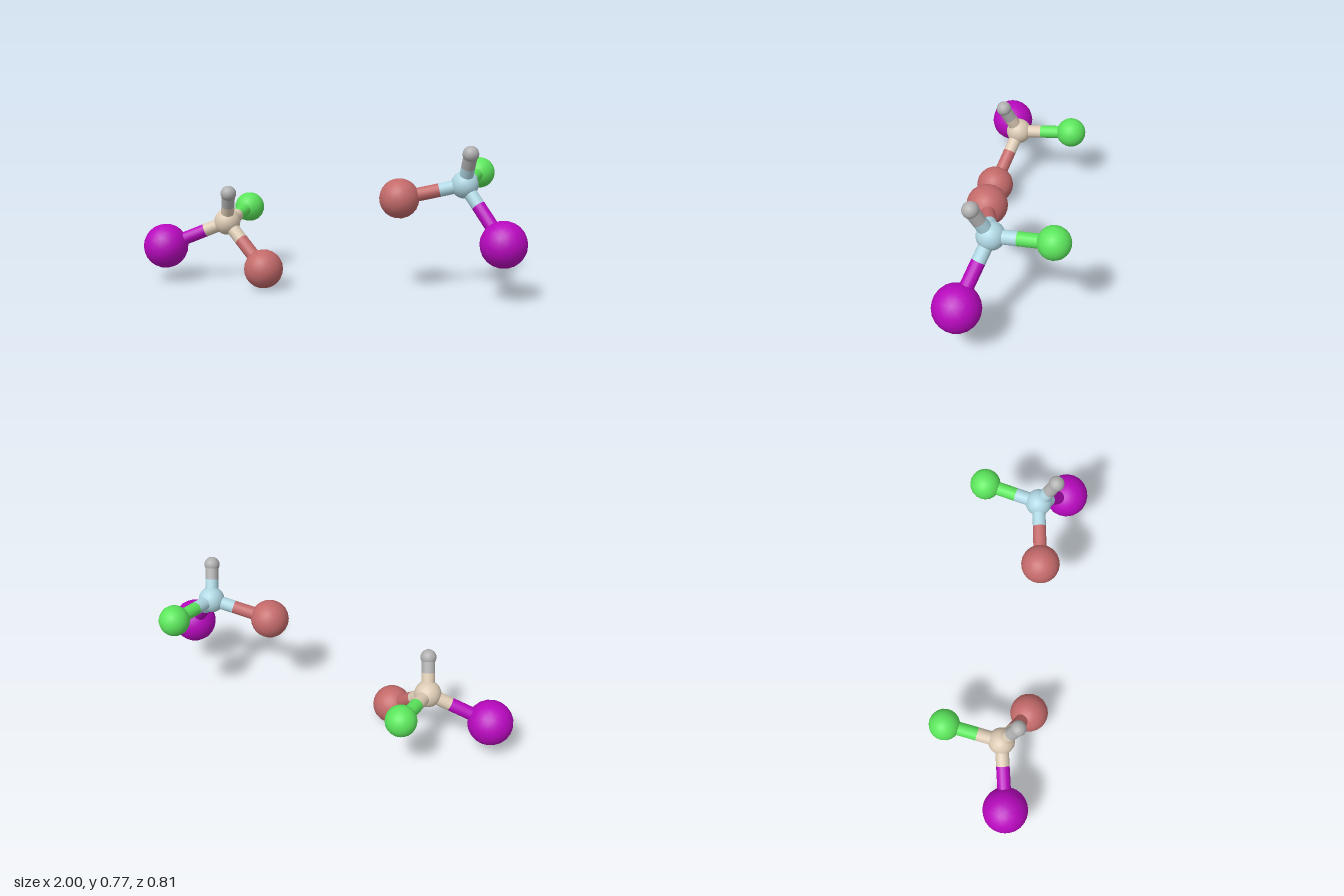
import * as THREE from 'three';

// Outer atom types: radius, colour and where the bond changes colour
const KINDS = {
  hydrogen: { r: 0.041, color: 0xb0b0b0, split: 0.58 },
  chlorine: { r: 0.081, color: 0x5ce65c, split: 0.43 },
  bromine: { r: 0.102, color: 0xc46a6a, split: 0.39 },
  iodine: { r: 0.118, color: 0xb808be, split: 0.36 },
};
const CARBON_R = 0.07;
const BOND_R = 0.035;

// Two mirror-image molecules: atom centres
const MOLECULES = [
  {
    name: 'rightMolecule', color: 0xdccbb4, carbon: [-0.553, 0.322, -0.026],
    atoms: {
      hydrogen: [-0.527, 0.488, 0.059],
      chlorine: [-0.484, 0.353, -0.32],
      bromine: [-0.337, 0.102, 0.113],
      iodine: [-0.882, 0.19, 0.004],
    },
  },
  {
    name: 'leftMolecule', color: 0xb0d8e4, carbon: [0.692, 0.563, 0.128],
    atoms: {
      hydrogen: [0.715, 0.729, 0.216],
      chlorine: [0.778, 0.587, -0.158],
      bromine: [0.366, 0.492, 0.147],
      iodine: [0.882, 0.294, 0.287],
    },
  },
];

function atom(name, center, r, material) {
  const mesh = new THREE.Mesh(new THREE.IcosahedronGeometry(r, 3), material);
  mesh.name = name;
  mesh.position.copy(center);
  return mesh;
}

// Open cylinder between two points; its ends lie inside atoms or meet its other half
function halfBond(name, from, to, material) {
  const dir = to.clone().sub(from);
  const mesh = new THREE.Mesh(
    new THREE.CylinderGeometry(BOND_R, BOND_R, dir.length(), 16, 1, true), material);
  mesh.name = name;
  mesh.position.copy(from).add(to).multiplyScalar(0.5);
  mesh.quaternion.setFromUnitVectors(new THREE.Vector3(0, 1, 0), dir.normalize());
  return mesh;
}

export function createModel() {
  const model = new THREE.Group();
  model.name = 'moleculePair';
  const materials = {};
  for (const [kind, { color }] of Object.entries(KINDS)) {
    materials[kind] = new THREE.MeshStandardMaterial({ color });
  }

  for (const { name, color, carbon, atoms } of MOLECULES) {
    const molecule = new THREE.Group();
    molecule.name = name;
    const carbonMaterial = new THREE.MeshStandardMaterial({ color });
    const center = new THREE.Vector3(...carbon);
    molecule.add(atom('carbonAtom', center, CARBON_R, carbonMaterial));

    // Outer atoms, each joined by a two-coloured bond
    for (const [kind, position] of Object.entries(atoms)) {
      const { r, split } = KINDS[kind];
      const end = new THREE.Vector3(...position);
      const middle = center.clone().lerp(end, split);
      molecule.add(
        atom(kind + 'Atom', end, r, materials[kind]),
        halfBond(kind + 'BondInner', center, middle, carbonMaterial),
        halfBond(kind + 'BondOuter', middle, end, materials[kind]));
    }
    model.add(molecule);
  }
  return model;
}
